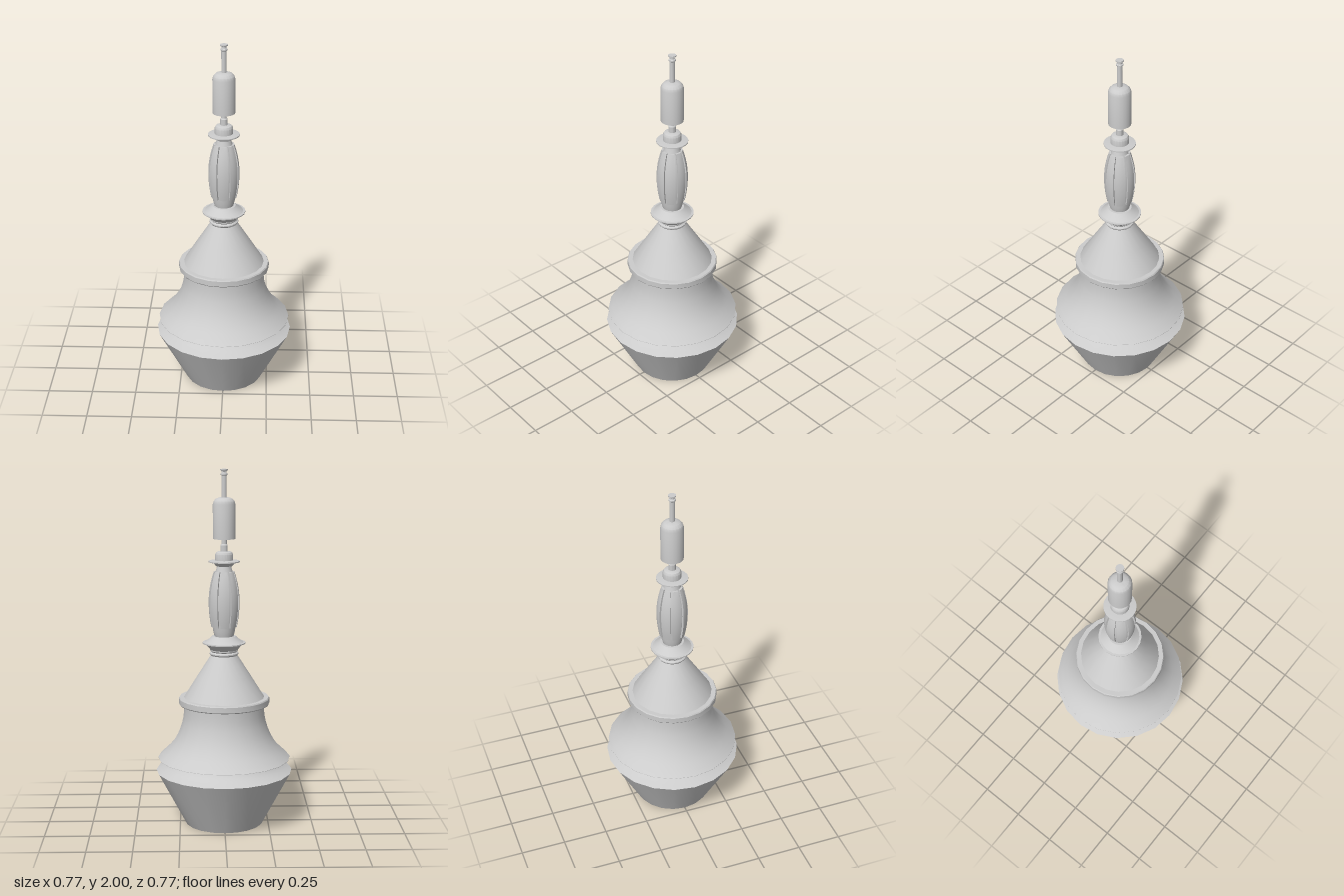
import * as THREE from 'three';
import { toCreasedNormals } from 'three/addons/utils/BufferGeometryUtils.js';

const SIDES = 20;
const material = new THREE.MeshStandardMaterial({ color: 0xcccccc, side: THREE.DoubleSide });

// Turned part from a bottom-to-top list of [radius, height]
function turned(name, points, sides = SIDES) {
  const profile = points.map(([r, y]) => new THREE.Vector2(r, y));
  const geometry = toCreasedNormals(new THREE.LatheGeometry(profile, sides), 0.5);
  const mesh = new THREE.Mesh(geometry, material);
  mesh.name = name;
  return mesh;
}

// Smooth run of profile points through a few control points
function curve(points, steps) {
  const spline = new THREE.SplineCurve(points.map(([r, y]) => new THREE.Vector2(r, y)));
  return spline.getPoints(steps).map(p => [p.x, p.y]);
}

// Bulging grip radius at height y
const gripCurve = y => 0.083 - 0.75 * (y - 1.27) ** 2 - (y > 1.27 ? 0.25 * (y - 1.27) ** 2 : 0);

// Raised strip bent round the grip: x becomes angle, z becomes radius
function gripStrip(angle) {
  const box = new THREE.BoxGeometry(0.62, 0.31, 1, 4, 10, 1);
  const pos = box.attributes.position;
  for (let i = 0; i < pos.count; i++) {
    const a = angle + pos.getX(i);
    const y = 1.285 + pos.getY(i);
    const r = gripCurve(y) + (pos.getZ(i) > 0 ? 0.003 : -0.016);
    pos.setXYZ(i, Math.sin(a) * r, y, Math.cos(a) * r);
  }
  const mesh = new THREE.Mesh(toCreasedNormals(box, 0.6), material);
  mesh.name = 'gripStrip';
  return mesh;
}

export function createModel() {
  const model = new THREE.Group();
  model.name = 'turnedSpire';

  // Tapered base with a concave shoulder
  model.add(turned('base', [
    [0, 0], [0.22, 0], [0.384, 0.308],
    ...curve([[0.384, 0.308], [0.335, 0.333], [0.305, 0.36], [0.29, 0.385]], 6).slice(1),
  ]));

  // Flared bell with a flat underside
  model.add(turned('bell', [
    [0.28, 0.381], [0.373, 0.381],
    ...curve([[0.373, 0.383], [0.308, 0.445], [0.262, 0.515], [0.235, 0.59], [0.226, 0.65], [0.224, 0.7]], 12),
  ]));

  // Ring around the shoulder
  model.add(turned('shoulderRing', [
    [0.2, 0.69], [0.251, 0.69], [0.255, 0.695], [0.255, 0.725], [0.251, 0.731], [0.2, 0.731],
  ]));

  // Cone
  model.add(turned('cone', [[0.226, 0.731], [0.148, 0.855], [0.073, 0.972], [0, 0.972]]));

  // Neck bead and flared collar
  model.add(turned('neckBead', [
    [0.06, 0.97], [0.076, 0.97], [0.081, 0.977], [0.081, 0.983], [0.072, 0.99],
    [0.078, 0.996], [0.078, 1.002], [0.06, 1.006],
  ]));
  model.add(turned('collar', [
    [0.068, 0.99], [0.08, 1.005], [0.105, 1.035], [0.12, 1.037], [0.12, 1.043],
    [0.108, 1.044], [0.085, 1.06], [0.066, 1.078], [0, 1.078],
  ]));

  // Grip core with raised strips
  const core = [];
  for (let i = 0; i <= 12; i++) {
    const y = 1.075 + i * 0.034;
    core.push([gripCurve(y) - (y > 1.12 && y < 1.45 ? 0.007 : 0.002), y]);
  }
  const grip = new THREE.Group();
  grip.name = 'grip';
  grip.add(turned('gripCore', core));
  for (let i = 0; i < 8; i++) grip.add(gripStrip(i * Math.PI / 4));
  model.add(grip);

  // Thin flange and stepped cap above the grip
  model.add(turned('flange', [
    [0.045, 1.47], [0.06, 1.486], [0.087, 1.492], [0.087, 1.498], [0.055, 1.502], [0, 1.502],
  ]));
  model.add(turned('cap', [
    [0.05, 1.498], [0.05, 1.535], [0.044, 1.546], [0.036, 1.55], [0.02, 1.552],
    [0.02, 1.585], [0.015, 1.592], [0.015, 1.625],
  ]));

  // Domed weight
  model.add(turned('weight', [
    [0, 1.62], [0.062, 1.62], [0.062, 1.81], [0.057, 1.827], [0.045, 1.84], [0.028, 1.846], [0, 1.848],
  ]));

  // Tip rod with a small bead and head
  model.add(turned('tipRod', [
    [0.014, 1.845], [0.014, 1.965], [0.019, 1.969], [0.019, 1.976], [0.013, 1.98],
    [0.013, 1.988], [0.021, 1.993], [0.021, 2], [0, 2],
  ]));

  return model;
}
